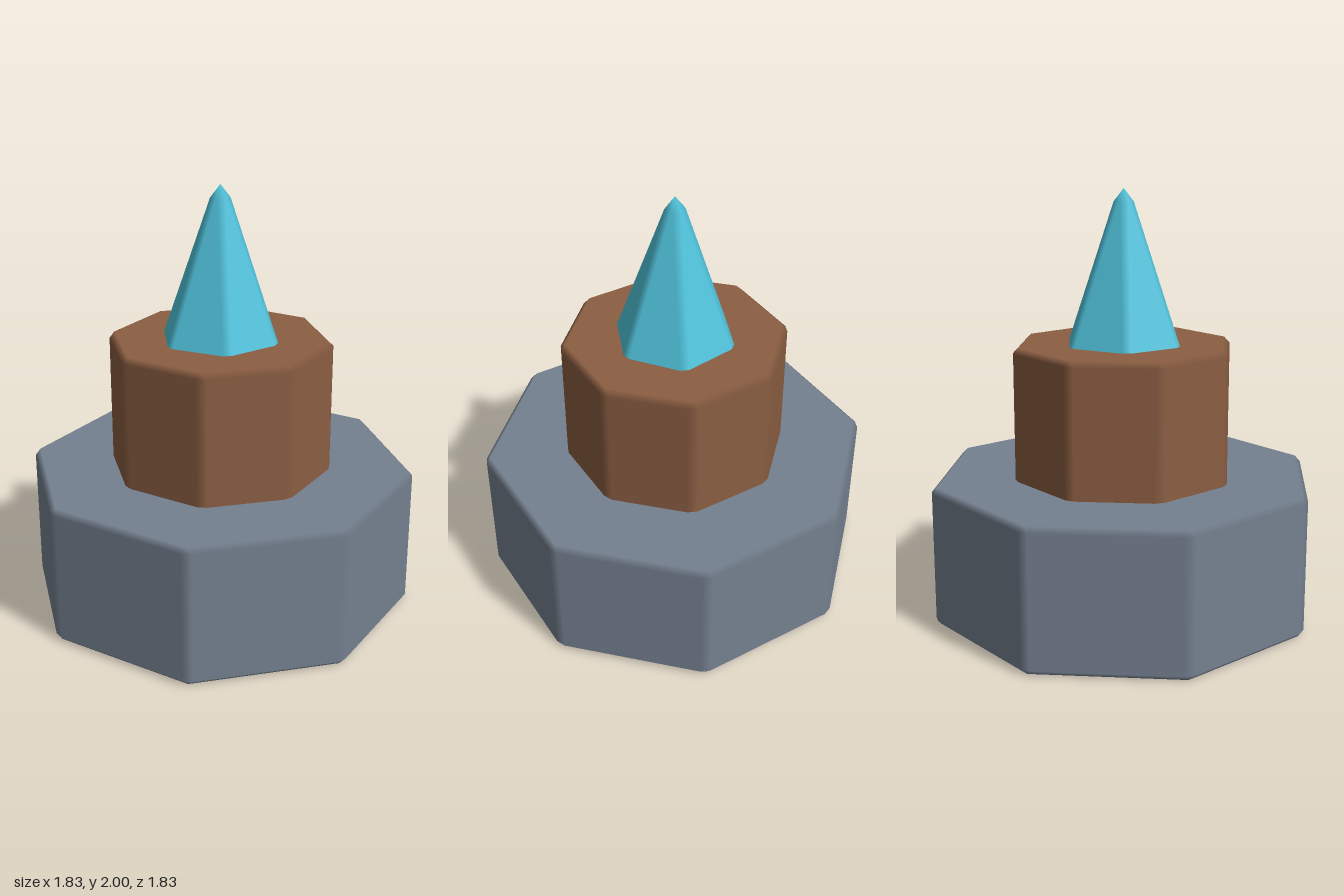
import * as THREE from 'three';

// Chamfered n-sided prism or spike with a corner at +z. Each face keeps one normal
// at all its corners, so only the chamfers blend smoothly between faces.
function chamferedPrism({ sides, r0, r1, y0, y1, bevel, tip }) {
  const pos = [], nor = [], idx = [];
  const step = (Math.PI * 2) / sides;
  const slope = Math.atan2((r0 - r1) * Math.cos(step / 2), y1 - y0);
  const corner = (i, r, y) => new THREE.Vector3(Math.sin(i * step) * r, y, Math.cos(i * step) * r);
  const add = (p, n) => { pos.push(...p.toArray()); nor.push(...n.toArray()); };
  const quad = (a, b, c, d) => idx.push(a, b, c, a, c, d);
  const up = new THREE.Vector3(0, 1, 0), down = new THREE.Vector3(0, -1, 0);
  const inset = bevel / Math.cos(step / 2);

  for (let i = 0; i < sides; i++) {
    const mid = (i + 0.5) * step;
    const n = new THREE.Vector3(
      Math.sin(mid) * Math.cos(slope), Math.sin(slope), Math.cos(mid) * Math.cos(slope));
    // Side face corners, pulled in along the edge by the bevel
    const edge = (r, y, fromEnd) => {
      const f = bevel / (2 * r * Math.sin(step / 2));
      return corner(i, r, y).lerp(corner(i + 1, r, y), fromEnd ? 1 - f : f);
    };
    const low = y0 + bevel, high = tip ? y1 : y1 - bevel;
    add(edge(r0, low, false), n);
    add(edge(r0, low, true), n);
    add(edge(r1, high, true), n);
    add(edge(r1, high, false), n);
    // Cap corners; a spike closes to its tip
    add(corner(i, tip ? 0 : r1 - inset, tip || y1), up);
    add(corner(i, r0 - inset, y0), down);
  }
  for (let i = 0; i < sides; i++) {
    const k = i * 6, m = ((i + 1) % sides) * 6;
    quad(k, k + 1, k + 2, k + 3);           // side
    quad(k + 1, m, m + 3, k + 2);           // upright chamfer
    quad(k + 3, k + 2, m + 4, k + 4);       // top chamfer
    quad(k + 5, m + 5, k + 1, k);           // bottom chamfer
    idx.push(k + 2, m + 3, m + 4, k + 1, m + 5, m);
    if (i > 0 && i < sides - 1) {           // caps
      if (!tip) idx.push(4, k + 4, m + 4);
      idx.push(5, m + 5, k + 5);
    }
  }
  const g = new THREE.BufferGeometry();
  g.setAttribute('position', new THREE.Float32BufferAttribute(pos, 3));
  g.setAttribute('normal', new THREE.Float32BufferAttribute(nor, 3));
  g.setIndex(idx);
  return g;
}

export function createModel() {
  const model = new THREE.Group();
  model.name = 'crystalPedestal';

  const material = (name, color) => {
    const m = new THREE.MeshStandardMaterial({ color });
    m.name = name;
    return m;
  };
  const part = (name, mat, options) => {
    const mesh = new THREE.Mesh(chamferedPrism(options), mat);
    mesh.name = name;
    model.add(mesh);
  };

  // Wide stone base
  part('base', material('slate grey', 0x758190),
    { sides: 8, r0: 0.925, r1: 0.925, y0: 0, y1: 0.665, bevel: 0.025 });
  // Narrower drum, sunk slightly into the base
  part('drum', material('brown', 0x8b5e42),
    { sides: 8, r0: 0.532, r1: 0.532, y0: 0.63, y1: 1.29, bevel: 0.025 });
  // Six-sided spike, its foot hidden in the drum
  part('spike', material('cyan', 0x50c3dc),
    { sides: 6, r0: 0.316, r1: 0.053, y0: 1.2, y1: 1.94, bevel: 0.023, tip: 2 });

  return model;
}
